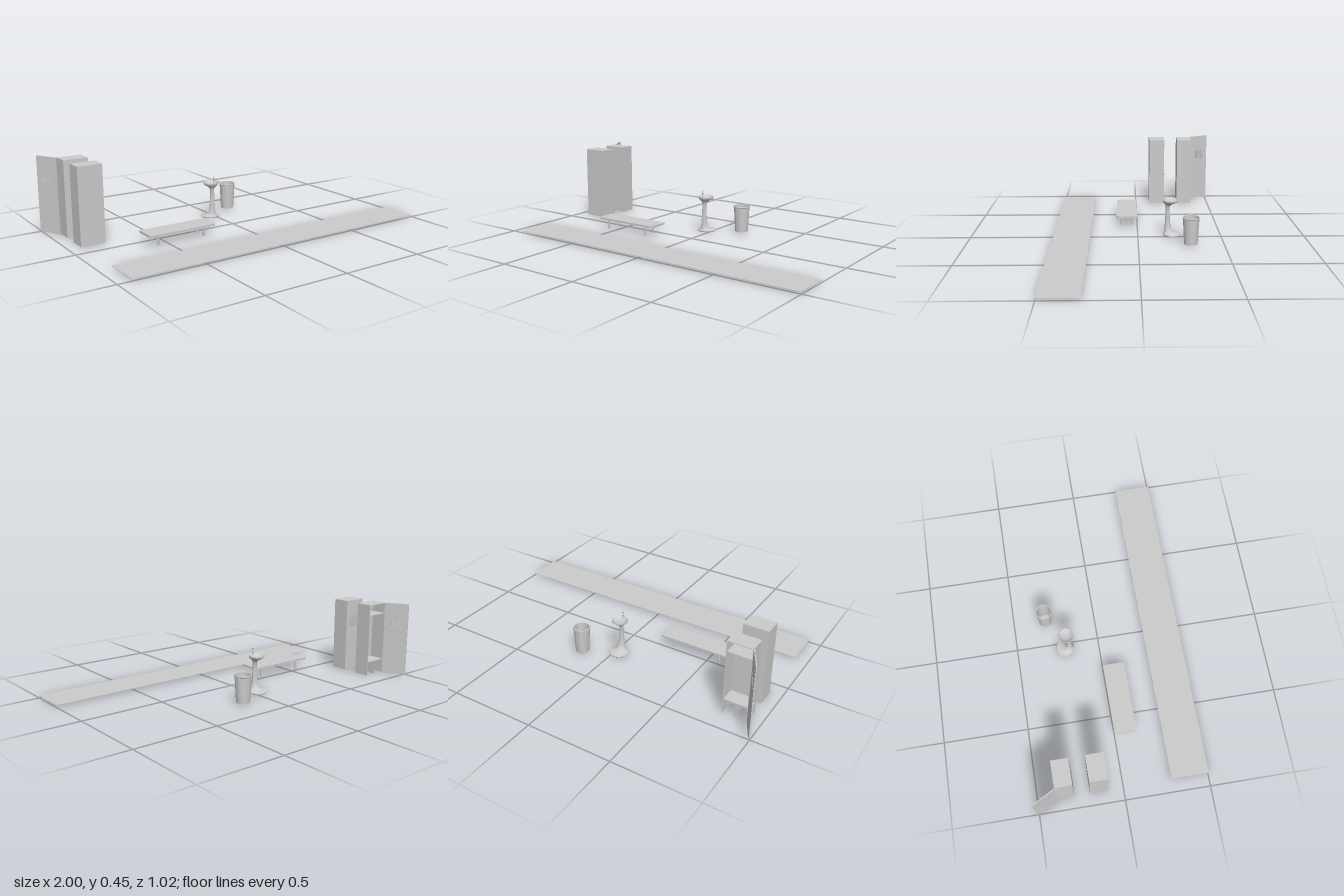
import * as THREE from 'three';
import { toCreasedNormals } from 'three/addons/utils/BufferGeometryUtils.js';

const grey = new THREE.MeshStandardMaterial({ color: 0xcccccc, side: THREE.DoubleSide });

function add(parent, name, geometry, x = 0, y = 0, z = 0) {
  const mesh = new THREE.Mesh(geometry, grey);
  mesh.name = name;
  mesh.position.set(x, y, z);
  parent.add(mesh);
  return mesh;
}

// Box given by its minimum and maximum corners
function box(parent, name, x0, x1, y0, y1, z0, z1) {
  return add(parent, name, new THREE.BoxGeometry(x1 - x0, y1 - y0, z1 - z0),
    (x0 + x1) / 2, (y0 + y1) / 2, (z0 + z1) / 2);
}

function group(parent, name, x = 0, y = 0, z = 0) {
  const g = new THREE.Group();
  g.name = name;
  g.position.set(x, y, z);
  parent.add(g);
  return g;
}

// Rectangle with a separate corner radius for its low and high sides
function roundedRect(Type, x0, x1, y0, y1, rLow, rHigh) {
  const s = new Type();
  s.moveTo(x0 + rLow, y0);
  s.lineTo(x1 - rLow, y0);
  s.quadraticCurveTo(x1, y0, x1, y0 + rLow);
  s.lineTo(x1, y1 - rHigh);
  s.quadraticCurveTo(x1, y1, x1 - rHigh, y1);
  s.lineTo(x0 + rHigh, y1);
  s.quadraticCurveTo(x0, y1, x0, y1 - rHigh);
  s.lineTo(x0, y0 + rLow);
  s.quadraticCurveTo(x0, y0, x0 + rLow, y0);
  return s;
}

// Smooth skin over horizontal ellipses [y, centreZ, radiusX, radiusZ]
function loft(rings, sides = 40) {
  const pos = [], index = [];
  for (const [y, cz, rx, rz] of rings) {
    for (let i = 0; i <= sides; i++) {
      const a = (i / sides) * Math.PI * 2;
      pos.push(Math.sin(a) * rx, y, cz + Math.cos(a) * rz);
    }
  }
  const n = sides + 1;
  for (let j = 0; j < rings.length - 1; j++) {
    for (let i = 0; i < sides; i++) {
      const a = j * n + i;
      index.push(a, a + 1, a + n, a + 1, a + n + 1, a + n);
    }
  }
  const g = new THREE.BufferGeometry();
  g.setAttribute('position', new THREE.Float32BufferAttribute(pos, 3));
  g.setIndex(index);
  return toCreasedNormals(g, 0.7);
}

// Door with louvred slots and a knob, hinged at its local origin
function addDoor(parent, width, height, angle) {
  const door = group(parent, 'door', 0, 0, -0.097);
  door.rotation.y = angle;
  const panel = roundedRect(THREE.Shape, 0, width, 0, height, 0.001, 0.001);
  for (let i = 0; i < 5; i++) {
    const x = 0.045 + i * 0.0147;
    panel.holes.push(roundedRect(THREE.Path, x, x + 0.007, 0.283, 0.345, 0.001, 0.001));
    const slat = box(door, 'louvre', x, x + 0.007, 0.283, 0.345, -0.0045, -0.0035);
    slat.rotation.y = 0.45;
  }
  add(door, 'doorPanel', new THREE.ExtrudeGeometry(panel, { depth: 0.006, bevelEnabled: false }), 0, 0, -0.006);
  const knob = add(door, 'knob', new THREE.CylinderGeometry(0.005, 0.005, 0.01, 16), 0.108, 0.207, -0.01);
  knob.rotation.x = Math.PI / 2;
}

function addLocker(parent, name, z, doorAngle) {
  const w = 0.145, h = 0.45, d = 0.097, t = 0.004, y0 = 0.003;
  const locker = group(parent, name, -0.93, 0, z);
  box(locker, 'backPanel', 0, w, y0, h, -t, 0);
  box(locker, 'sidePanel', 0, t, y0, h, -d, -t);
  box(locker, 'sidePanel', w - t, w, y0, h, -d, -t);
  box(locker, 'topPanel', t, w - t, h - t, h, -d, -t);
  // Hat shelf, shoe shelf and shoe divider
  for (const y of [0.385, 0.09]) box(locker, 'shelf', t, w - t, y - t, y, -d + 0.004, -t);
  box(locker, 'shoeDivider', w / 2 - t / 2, w / 2 + t / 2, y0, 0.086, -d + 0.004, -t);
  // Rivets along the shelf lines
  for (const y of [0.387, 0.088, 0.04]) {
    for (let i = 0; i < 4; i++) {
      const rivet = add(locker, 'rivet', new THREE.CylinderGeometry(0.0018, 0.0018, 0.001, 8),
        0.02 + i * 0.035, y, 0.0003);
      rivet.rotation.x = Math.PI / 2;
    }
  }
  addDoor(locker, w, h - 0.001, doorAngle);
}

function addBench(parent) {
  const bench = group(parent, 'bench', -0.4125, 0, 0.065);
  const outline = () => roundedRect(THREE.Shape, -0.2125, 0.2125, -0.065, 0.065, 0.022, 0.008);
  const rim = outline();
  rim.holes.push(roundedRect(THREE.Path, -0.2065, 0.2065, -0.059, 0.059, 0.018, 0.005));
  // Thin seat plate with a folded rim below it
  for (const [name, shape, y, depth] of [['seatPlate', outline(), 0.066, 0.004], ['seatRim', rim, 0.058, 0.008]]) {
    const g = new THREE.ExtrudeGeometry(shape, { depth, bevelEnabled: false, curveSegments: 8 });
    g.rotateX(-Math.PI / 2);
    add(bench, name, g, 0, y, 0);
  }
  for (const x of [-0.15, 0.144]) {
    for (const z of [-0.036, 0.037]) {
      add(bench, 'leg', new THREE.CylinderGeometry(0.0062, 0.0062, 0.066, 16), x, 0.033, z);
    }
  }
}

function addFountain(parent) {
  const fountain = group(parent, 'drinkingFountain', -0.03, 0, 0);
  // Wide foot, slim stem, then the bowl turned inwards to its drain
  add(fountain, 'pedestalAndBowl', loft([
    [0.004, -0.207, 0.0005, 0.0005],
    [0.004, -0.207, 0.054, 0.054],
    [0.007, -0.207, 0.056, 0.056],
    [0.012, -0.206, 0.055, 0.055],
    [0.015, -0.201, 0.047, 0.047],
    [0.02, -0.191, 0.034, 0.034],
    [0.03, -0.184, 0.025, 0.025],
    [0.05, -0.18, 0.019, 0.019],
    [0.08, -0.179, 0.016, 0.0155],
    [0.13, -0.179, 0.0135, 0.013],
    [0.175, -0.179, 0.0125, 0.012],
    [0.188, -0.181, 0.016, 0.016],
    [0.197, -0.186, 0.025, 0.026],
    [0.207, -0.193, 0.04, 0.04],
    [0.213, -0.195, 0.045, 0.045],
    [0.222, -0.195, 0.0455, 0.0455],
    [0.224, -0.195, 0.044, 0.044],
    [0.222, -0.195, 0.041, 0.041],
    [0.213, -0.195, 0.034, 0.034],
    [0.206, -0.194, 0.018, 0.018],
    [0.205, -0.194, 0.0005, 0.0005],
  ]));
  add(fountain, 'drain', new THREE.CylinderGeometry(0.006, 0.006, 0.002, 20), 0, 0.206, -0.194);
  // Bent spout with a flared nozzle
  const path = new THREE.CatmullRomCurve3([
    [0.214, -0.158], [0.228, -0.157], [0.236, -0.163], [0.244, -0.161], [0.253, -0.157], [0.26, -0.162],
  ].map(([y, z]) => new THREE.Vector3(0, y, z)));
  add(fountain, 'spout', new THREE.TubeGeometry(path, 24, 0.0038, 12));
  add(fountain, 'spoutCollar', new THREE.CylinderGeometry(0.005, 0.0075, 0.01, 20), 0, 0.225, -0.158);
  const nozzle = add(fountain, 'nozzle', new THREE.CylinderGeometry(0.0035, 0.005, 0.008, 16), 0, 0.258, -0.161);
  nozzle.rotation.x = -0.7;
}

function addBin(parent) {
  // Tapered wall with a rolled rim, hollow inside, recessed underneath
  const profile = [
    [0, 0.014], [0.034, 0.014], [0.035, 0.008], [0.039, 0.008], [0.0475, 0.158], [0.0495, 0.16],
    [0.0495, 0.167], [0.0475, 0.169], [0.043, 0.168], [0.036, 0.018], [0, 0.018],
  ].map(([r, y]) => new THREE.Vector2(r, y));
  add(parent, 'wasteBin', toCreasedNormals(new THREE.LatheGeometry(profile, 40), 0.6), 0.163, 0, -0.304);
}

export function createModel() {
  const model = new THREE.Group();
  model.name = 'lockerRoomSet';
  box(model, 'floorMat', -0.925, 1, 0.0105, 0.0135, 0.284, 0.505);
  addBench(model);
  addLocker(model, 'closedLocker', -0.093, 0);
  addLocker(model, 'openLocker', -0.285, THREE.MathUtils.degToRad(118));
  addFountain(model);
  addBin(model);
  return model;
}
